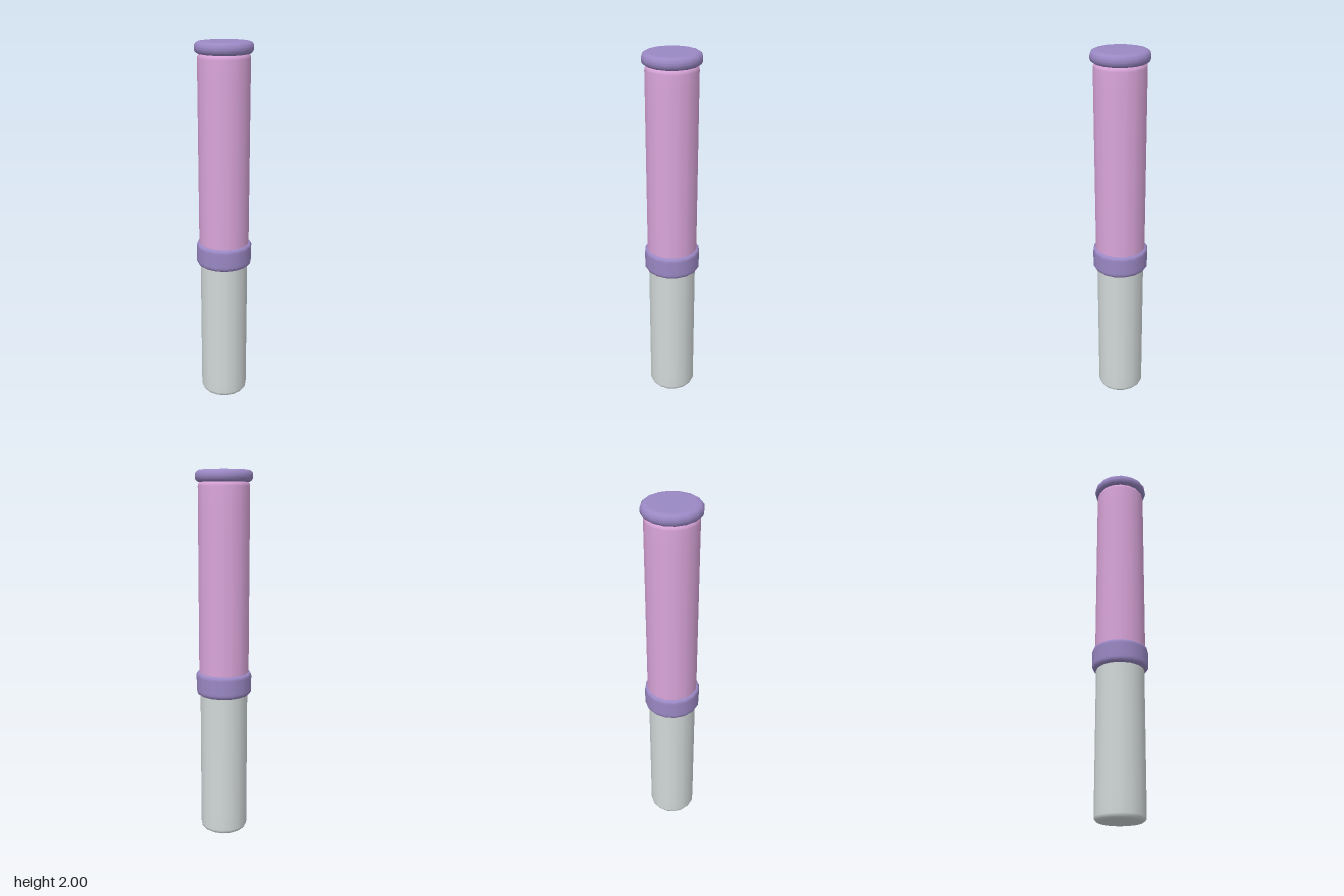
import * as THREE from 'three';

const SIDES = 16;

// Closed round section with softened rims; guard points keep walls and discs evenly shaded.
function roundedCylinder(radius, y0, y1, bottomBevel, topBevel) {
  const pts = [];
  const add = (x, y) => pts.push(new THREE.Vector2(x, y));
  const arc = (bevel, cy, from) => {
    for (let i = 0; i <= 4; i++) {
      const a = from + (i / 4) * Math.PI / 2;
      add(radius - bevel + bevel * Math.cos(a), cy + bevel * Math.sin(a));
    }
  };
  add(0, y0);
  add(radius - bottomBevel - 0.012, y0);
  arc(bottomBevel, y0 + bottomBevel, -Math.PI / 2);
  const gap = (y1 - topBevel - y0 - bottomBevel) * 0.1;
  add(radius, y0 + bottomBevel + gap);
  add(radius, y1 - topBevel - gap);
  arc(topBevel, y1 - topBevel, 0);
  add(radius - topBevel - 0.012, y1);
  add(0, y1);
  return new THREE.LatheGeometry(pts, SIDES);
}

export function createModel() {
  const model = new THREE.Group();
  model.name = 'cylindricalHandle';

  const material = (name, color) => {
    const m = new THREE.MeshStandardMaterial({ color });
    m.name = name;
    return m;
  };
  const grey = material('pale grey', 0xd2d8d9);
  const pink = material('orchid pink', 0xdaa5da);
  const purple = material('muted purple', 0x9a88c4);

  const part = (name, geometry, mat) => {
    const mesh = new THREE.Mesh(geometry, mat);
    mesh.name = name;
    model.add(mesh);
  };

  // Lower barrel, rounded at the foot
  part('lowerBarrel', roundedCylinder(0.131, 0, 0.86, 0.026, 0.01), grey);
  // Upper barrel, rounded under the cap
  part('upperBarrel', roundedCylinder(0.137, 0.86, 1.95, 0.01, 0.032), pink);
  // Collar between the barrels
  part('collar', roundedCylinder(0.152, 0.797, 0.925, 0.024, 0.018), purple);
  // End cap
  part('endCap', roundedCylinder(0.152, 1.938, 2, 0.026, 0.026), purple);

  return model;
}
